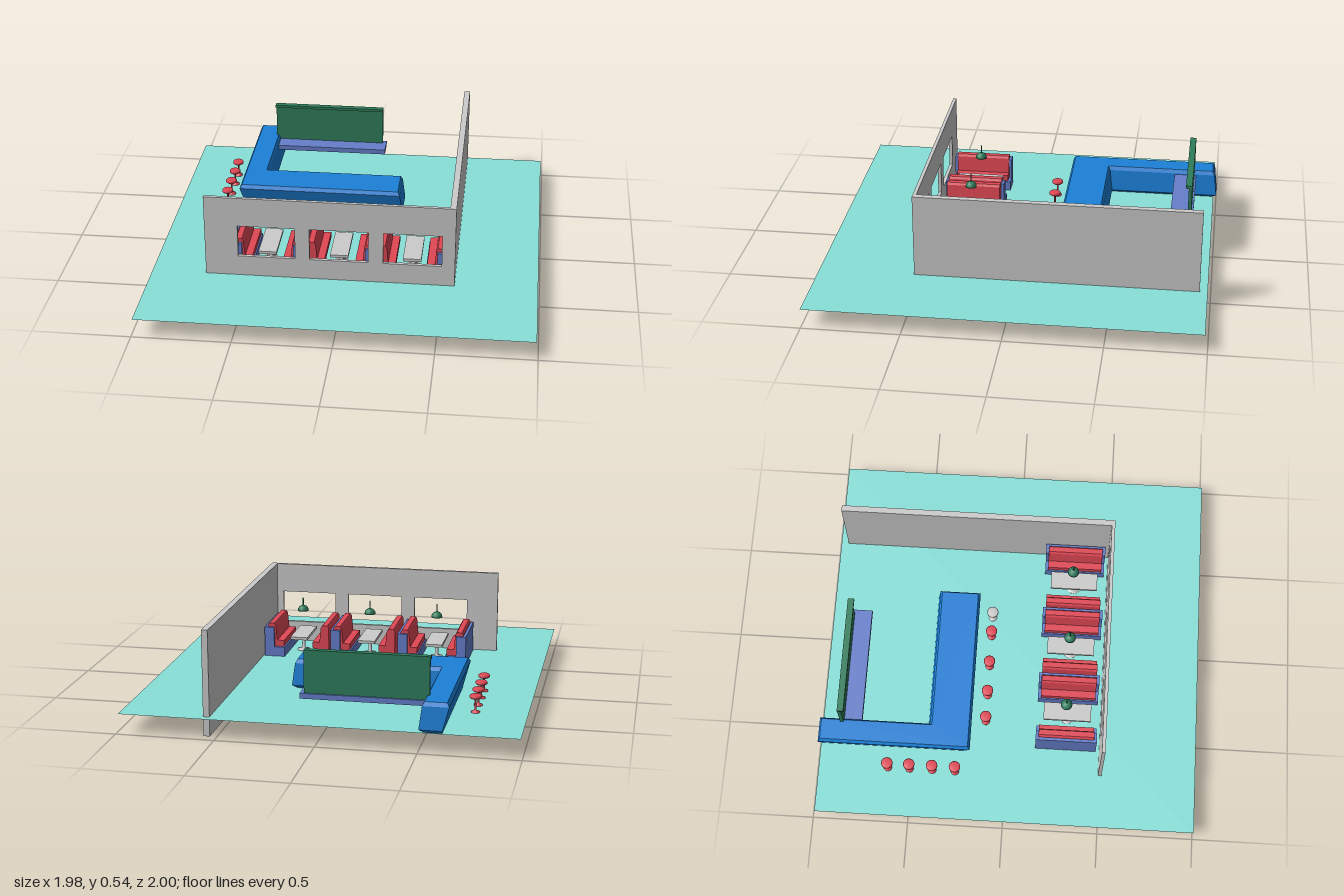
import * as THREE from 'three';

const FLOOR = 0.1, BASE = 0.097;
const mat = (color) => new THREE.MeshStandardMaterial({ color });
const grey = mat(0xcccccc), teal = mat(0x88e0d8), blue = mat(0x1c80d8);
const violet = mat(0x667fcc), red = mat(0xe04855), green = mat(0x2f7d5c);
teal.side = THREE.DoubleSide;
blue.flatShading = true;

function add(parent, name, geometry, material, x = 0, y = 0, z = 0) {
  const mesh = new THREE.Mesh(geometry, material);
  mesh.name = name;
  mesh.position.set(x, y, z);
  parent.add(mesh);
  return mesh;
}

// Box given by its limits on each axis
function box(parent, name, material, [x0, x1], [y0, y1], [z0, z1]) {
  return add(parent, name, new THREE.BoxGeometry(x1 - x0, y1 - y0, z1 - z0), material,
    (x0 + x1) / 2, (y0 + y1) / 2, (z0 + z1) / 2);
}

function group(parent, name, x = 0, y = 0, z = 0) {
  const g = new THREE.Group();
  g.name = name;
  g.position.set(x, y, z);
  parent.add(g);
  return g;
}

const lathe = (pts, n = 20) =>
  new THREE.LatheGeometry(pts.map(([r, y]) => new THREE.Vector2(r, y)), n);

// Front wall with three window openings
function frontWall() {
  const rect = (P, x0, x1, y0, y1) => {
    const p = new P();
    p.moveTo(x0, y0);
    p.lineTo(x1, y0);
    p.lineTo(x1, y1);
    p.lineTo(x0, y1);
    p.closePath();
    return p;
  };
  const shape = rect(THREE.Shape, -0.71, 0.567, 0, 0.54);
  for (const [x0, x1] of [[-0.54, -0.247], [-0.173, 0.127], [0.203, 0.5]])
    shape.holes.push(rect(THREE.Path, x0, x1, 0.21, 0.382));
  return new THREE.ExtrudeGeometry(shape, { depth: 0.018, bevelEnabled: false });
}

// L-shaped counter lofted through rings: [height, customer side inset, inner side inset]
function counterGeometry() {
  const rings = [[BASE, 0.035, 0.03], [0.12, 0.03, 0], [0.235, 0, 0.014], [0.255, 0.012, 0.025]];
  const pos = [], idx = [];
  for (const [y, o, e] of rings) {
    const l = -0.65 + o, f = -0.19 - o, b = -0.42 + e, r = 0.243 - e, m = -0.505 - e, k = -1 + e;
    for (const [x, z] of [[l, k], [m, k], [m, b], [r, b], [r, f], [l, f]]) pos.push(x, y, z);
  }
  for (let j = 0; j < rings.length - 1; j++)
    for (let i = 0; i < 6; i++) {
      const p = j * 6 + i, p1 = j * 6 + (i + 1) % 6;
      idx.push(p, p + 6, p1 + 6, p, p1 + 6, p1);
    }
  const top = (rings.length - 1) * 6;
  for (const [a, b, c] of [[0, 5, 1], [5, 2, 1], [5, 4, 2], [4, 3, 2]])
    idx.push(top + a, top + b, top + c, a, c, b);
  const g = new THREE.BufferGeometry();
  g.setAttribute('position', new THREE.Float32BufferAttribute(pos, 3));
  g.setIndex(idx);
  const flat = g.toNonIndexed();
  flat.computeVertexNormals();
  return flat;
}

// Bench cushion: side profile with back at x = 0 and seat towards +x
function benchGeometry() {
  const s = new THREE.Shape();
  [[0, 0.105], [0.078, 0.105], [0.078, 0.15], [0.09, 0.155], [0.09, 0.187], [0.052, 0.187],
    [0.044, 0.27], [0.036, 0.282], [0.008, 0.282], [0, 0.27]]
    .forEach(([x, y], i) => (i ? s.lineTo(x, y) : s.moveTo(x, y)));
  s.closePath();
  return new THREE.ExtrudeGeometry(s, { depth: 0.29, bevelEnabled: false });
}

export function createModel() {
  const root = new THREE.Group();
  root.name = 'diner';

  // Floor and walls
  const floor = add(root, 'floor', new THREE.PlaneGeometry(1.98, 1.985), teal, 0, FLOOR, 0.0075);
  floor.rotation.x = -Math.PI / 2;
  add(root, 'frontWall', frontWall(), grey, 0, 0, 0.489);
  box(root, 'sideWall', grey, [0.535, 0.567], [0, 0.54], [-0.945, 0.489]);

  // Counter
  add(root, 'counter', counterGeometry(), blue);

  // Back shelf with lipped panel
  const shelf = group(root, 'backShelf');
  box(shelf, 'shelfBoard', violet, [-0.54, 0.097], [0.203, 0.23], [-0.885, -0.765]);
  box(shelf, 'shelfPanel', green, [-0.54, 0.077], [0.23, 0.445], [-0.876, -0.858]);
  box(shelf, 'panelLip', green, [-0.543, 0.077], [0.432, 0.447], [-0.876, -0.843]);

  // Stools along both counter sides
  const seatGeo = lathe([[0, 0.172], [0.024, 0.172], [0.03, 0.177], [0.03, 0.186], [0.025, 0.191], [0, 0.191]]);
  const legGeo = lathe([[0, BASE], [0.022, BASE], [0.022, 0.104], [0.007, 0.11], [0.005, 0.12],
    [0.005, 0.165], [0.012, 0.173]]);
  const spots = [-0.62, -0.505, -0.385, -0.265].map((z) => [-0.73, z, red])
    .concat([-0.445, -0.3, -0.135, 0.037].map((x) => [x, -0.12, red]), [[0.145, -0.12, grey]]);
  for (const [x, z, m] of spots) {
    const stool = group(root, 'stool', x, 0, z);
    add(stool, 'stoolSeat', seatGeo, m);
    add(stool, 'stoolLeg', legGeo, m);
  }

  // Booth benches: [back x, facing, has casing]
  const benchGeo = benchGeometry();
  for (const [x, dir, cased] of [[-0.565, 1, true], [-0.224, -1, true], [-0.192, 1, false],
    [0.146, -1, true], [0.173, 1, false], [0.513, -1, true]]) {
    const bench = group(root, 'boothBench', x, 0, 0.31);
    if (dir < 0) bench.rotation.y = Math.PI;
    add(bench, 'benchCushion', benchGeo, red, 0, 0, -0.145);
    if (cased) {
      box(bench, 'casingBack', violet, [-0.015, 0.004], [BASE, 0.262], [-0.16, 0.16]);
      box(bench, 'casingBase', violet, [-0.015, 0.096], [BASE, 0.152], [-0.16, 0.16]);
      for (const s of [-1, 1])
        box(bench, 'casingSide', violet, [-0.015, 0.038], [BASE, 0.262],
          s < 0 ? [-0.16, -0.146] : [0.146, 0.16]);
    }
  }

  // Tables with hanging lamps above
  const pedestalGeo = lathe([[0, BASE], [0.035, BASE], [0.035, 0.104], [0.01, 0.112], [0.008, 0.19]]);
  const shadeGeo = lathe([[0, 0.326], [0.03, 0.326], [0.029, 0.336], [0.022, 0.348], [0.011, 0.355], [0, 0.356]]);
  const stemGeo = new THREE.CylinderGeometry(0.003, 0.003, 0.045, 8);
  for (const x of [-0.4, -0.03, 0.345]) {
    const table = group(root, 'table', x, 0, 0.31);
    box(table, 'tableTop', grey, [-0.047, 0.047], [0.188, 0.203], [-0.125, 0.125]);
    add(table, 'tablePedestal', pedestalGeo, grey);
    const lamp = group(root, 'hangingLamp', x, 0, 0.302);
    add(lamp, 'lampShade', shadeGeo, green);
    add(lamp, 'lampStem', stemGeo, green, 0, 0.376, 0);
  }
  return root;
}
